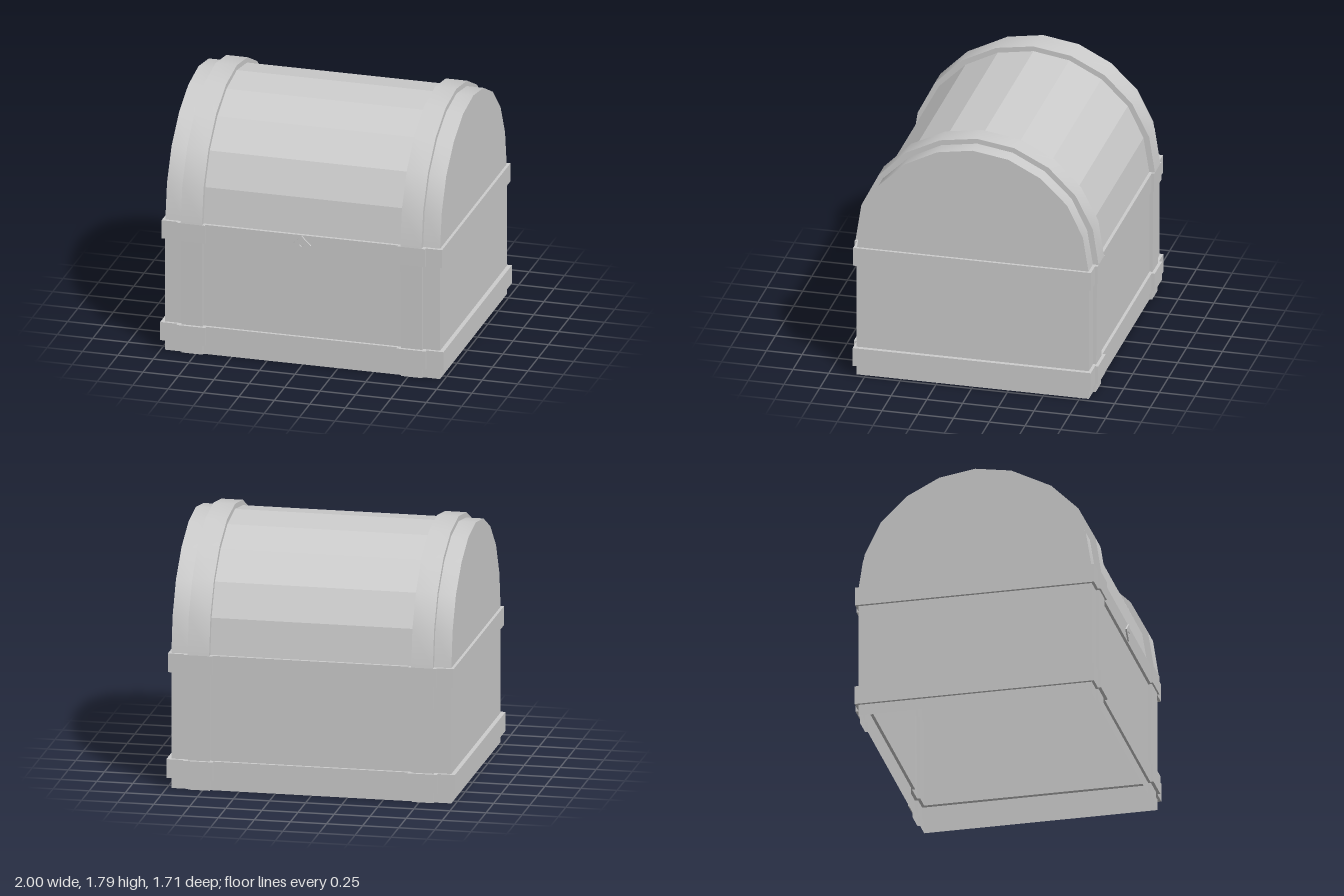
import * as THREE from 'three';
import { toCreasedNormals } from 'three/addons/utils/BufferGeometryUtils.js';

const material = (flat) => new THREE.MeshStandardMaterial({
  color: 0xcccccc, flatShading: flat, side: THREE.DoubleSide,
});

// Skin a sequence of equally long rows of [x, y, z] points
function loft(rows, closed = false) {
  const n = rows[0].length, index = [];
  for (let j = 0; j < rows.length - 1; j++) {
    for (let i = 0; i < (closed ? n : n - 1); i++) {
      const k = (i + 1) % n;
      const a = j * n + i, b = j * n + k, c = a + n, d = b + n;
      index.push(a, b, d, a, d, c);
    }
  }
  const g = new THREE.BufferGeometry();
  g.setAttribute('position', new THREE.Float32BufferAttribute(rows.flat(2), 3));
  g.setIndex(index);
  g.computeVertexNormals();
  return g;
}

// Half profiles [z, y] of the lid, mirrored into full arches from back to front
const mirrorArch = (half) => [
  ...half.map(([z, y]) => [-z, y]),
  ...half.slice(0, -1).reverse(),
];
const lidArch = mirrorArch([[0.81, 0.95], [0.77, 1.2], [0.66, 1.425], [0.475, 1.605], [0.25, 1.72], [0, 1.76]]);
const strapArch = mirrorArch([[0.85, 0.95], [0.81, 1.21], [0.69, 1.445], [0.5, 1.635], [0.26, 1.755], [0, 1.795]]);
const archAt = (x, arch) => arch.map(([z, y]) => [x, y, z]);

// Horizontal outline of the box with raised straps on front and back
function outline(y, hx, hz, s0, s1, sz) {
  const front = [
    [-hx, hz], [-s1, hz], [-s1, sz], [-s0, sz], [-s0, hz],
    [s0, hz], [s0, sz], [s1, sz], [s1, hz], [hx, hz],
  ];
  const back = front.map(([x, z]) => [-x, -z]);
  return [...front, ...back].map(([x, z]) => [x, y, z]);
}

export function createModel() {
  const chest = new THREE.Group();
  chest.name = 'chest';
  const add = (name, geometry, flat = true) => {
    const mesh = new THREE.Mesh(geometry, material(flat));
    mesh.name = name;
    chest.add(mesh);
    return mesh;
  };

  // Open-bottomed box: walls, straps, base band and rim band in one skin
  add('box', loft([
    outline(0, 0.97, 0.812, 0.7, 0.85, 0.83),
    outline(0.08, 0.97, 0.812, 0.7, 0.85, 0.83),
    outline(0.075, 1, 0.833, 0.675, 0.88, 0.855),
    outline(0.207, 1, 0.833, 0.675, 0.88, 0.855),
    outline(0.207, 0.97, 0.812, 0.7, 0.85, 0.833),
    outline(0.818, 0.97, 0.812, 0.7, 0.85, 0.838),
    outline(0.818, 0.99, 0.832, 0.68, 0.875, 0.85),
    outline(0.95, 0.99, 0.832, 0.68, 0.875, 0.85),
    outline(0.95, 0.97, 0.81, 0.7, 0.85, 0.85),
  ], true));

  // Faceted middle of the lid
  add('lidMiddle', loft([archAt(-0.7, lidArch), archAt(0.7, lidArch)]));

  for (const s of [-1, 1]) {
    const side = s > 0 ? 'left' : 'right';

    // Raised strap over the lid
    const c = s * 0.775;
    const strap = loft([
      archAt(c - 0.075, lidArch), archAt(c - 0.075, strapArch),
      archAt(c + 0.075, strapArch), archAt(c + 0.075, lidArch),
    ]);
    add(side + 'LidStrap', toCreasedNormals(strap, 0.7), false);

    // Smooth outer strip of the lid
    const m = s * 0.91;
    add(side + 'LidEdge', loft([archAt(m - 0.06, lidArch), archAt(m + 0.06, lidArch)]), false);

    // Flat lid end
    const end = new THREE.ShapeGeometry(new THREE.Shape(lidArch.map(([z, y]) => new THREE.Vector2(-s * z, y))));
    end.rotateY(s * Math.PI / 2);
    end.translate(s * 0.97, 0, 0);
    add(side + 'LidEnd', end);
  }

  // Diamond lock plate with a small keyhole
  const diamond = (r) => [[r, 0], [0, r], [-r, 0], [0, -r]].map(([x, y]) => new THREE.Vector2(x, y));
  const plate = new THREE.Shape(diamond(0.065));
  plate.holes.push(new THREE.Path(diamond(0.014)));
  add('lockPlate', new THREE.ExtrudeGeometry(plate, { depth: 0.013, bevelEnabled: false }))
    .position.set(0, 0.882, 0.83);

  return chest;
}
